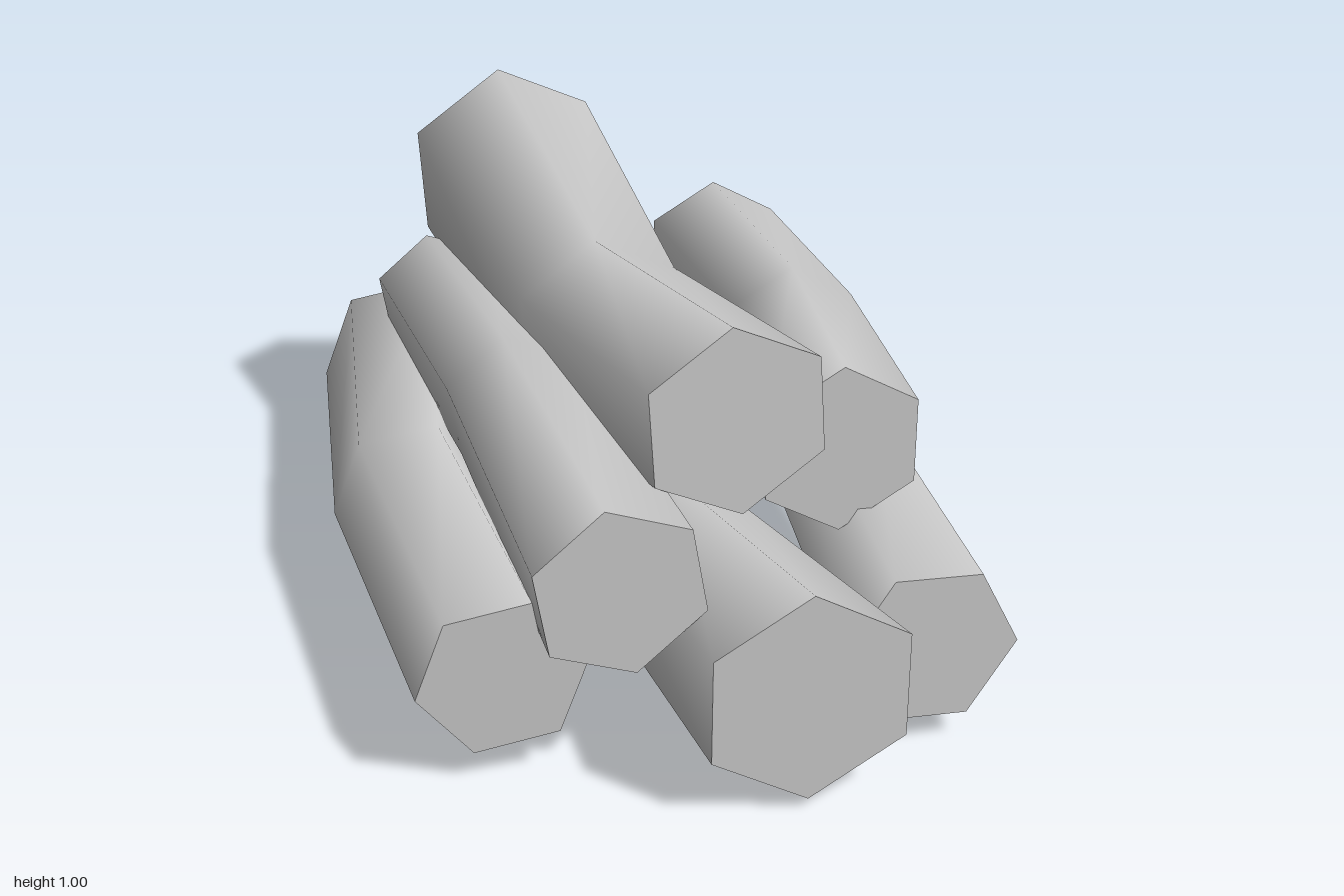
import * as THREE from 'three';
import { mergeVertices } from 'three/addons/utils/BufferGeometryUtils.js';

// Each log: three rings [x, y, z, radius] from front to back,
// phase = angle of one corner in degrees, yaw = slope of the cut ends.
const LOGS = [
  { name: 'topLog', phase: 94, yaw: -0.07,
    rings: [[0.075, 0.765, 0.665, 0.222], [-0.01, 0.64, -0.14, 0.22], [-0.055, 0.75, -0.95, 0.263]] },
  { name: 'upperLeftLog', phase: 90, yaw: 0,
    rings: [[0.355, 0.6, 0.54, 0.2], [0.415, 0.63, 0, 0.171], [0.385, 0.633, -0.54, 0.178]] },
  { name: 'lowerLeftLog', phase: -3, yaw: 0,
    rings: [[0.47, 0.25, 0.835, 0.2], [0.505, 0.325, 0.08, 0.167], [0.475, 0.253, -0.675, 0.17]] },
  { name: 'lowerMiddleLog', phase: 90, yaw: 0,
    rings: [[0.14, 0.278, 1, 0.248], [0.06, 0.213, 0.24, 0.202], [0.15, 0.28, -0.52, 0.2]] },
  { name: 'upperRightLog', phase: 100, yaw: 0,
    rings: [[-0.223, 0.49, 0.83, 0.2], [-0.25, 0.53, 0, 0.176], [-0.268, 0.458, -0.83, 0.167]] },
  { name: 'lowerRightLog', phase: 10, yaw: 0.07,
    rings: [[-0.455, 0.26, 0.73, 0.19], [-0.48, 0.25, -0.14, 0.191], [-0.335, 0.22, -0.985, 0.22]] },
];

// Six-sided cylinder whose rings are moved, scaled and tilted
function bentLog({ name, phase, yaw, rings }) {
  let geo = new THREE.CylinderGeometry(1, 1, 2, 6, 2);
  geo.deleteAttribute('uv');
  geo = mergeVertices(geo); // closes the side seam, keeps the cut ends sharp
  geo.rotateX(Math.PI / 2);
  geo.rotateZ(THREE.MathUtils.degToRad(phase - 90));
  const pos = geo.attributes.position;
  for (let i = 0; i < pos.count; i++) {
    const [x, y, z, r] = rings[1 - Math.round(pos.getZ(i))];
    const dx = pos.getX(i) * r;
    pos.setXYZ(i, x + dx, y + pos.getY(i) * r, z + dx * yaw);
  }
  geo.computeVertexNormals();
  const mesh = new THREE.Mesh(geo, new THREE.MeshStandardMaterial({ color: 0xcccccc }));
  mesh.name = name;
  return mesh;
}

export function createModel() {
  const pile = new THREE.Group();
  pile.name = 'logPile';
  for (const log of LOGS) pile.add(bentLog(log));
  return pile;
}
